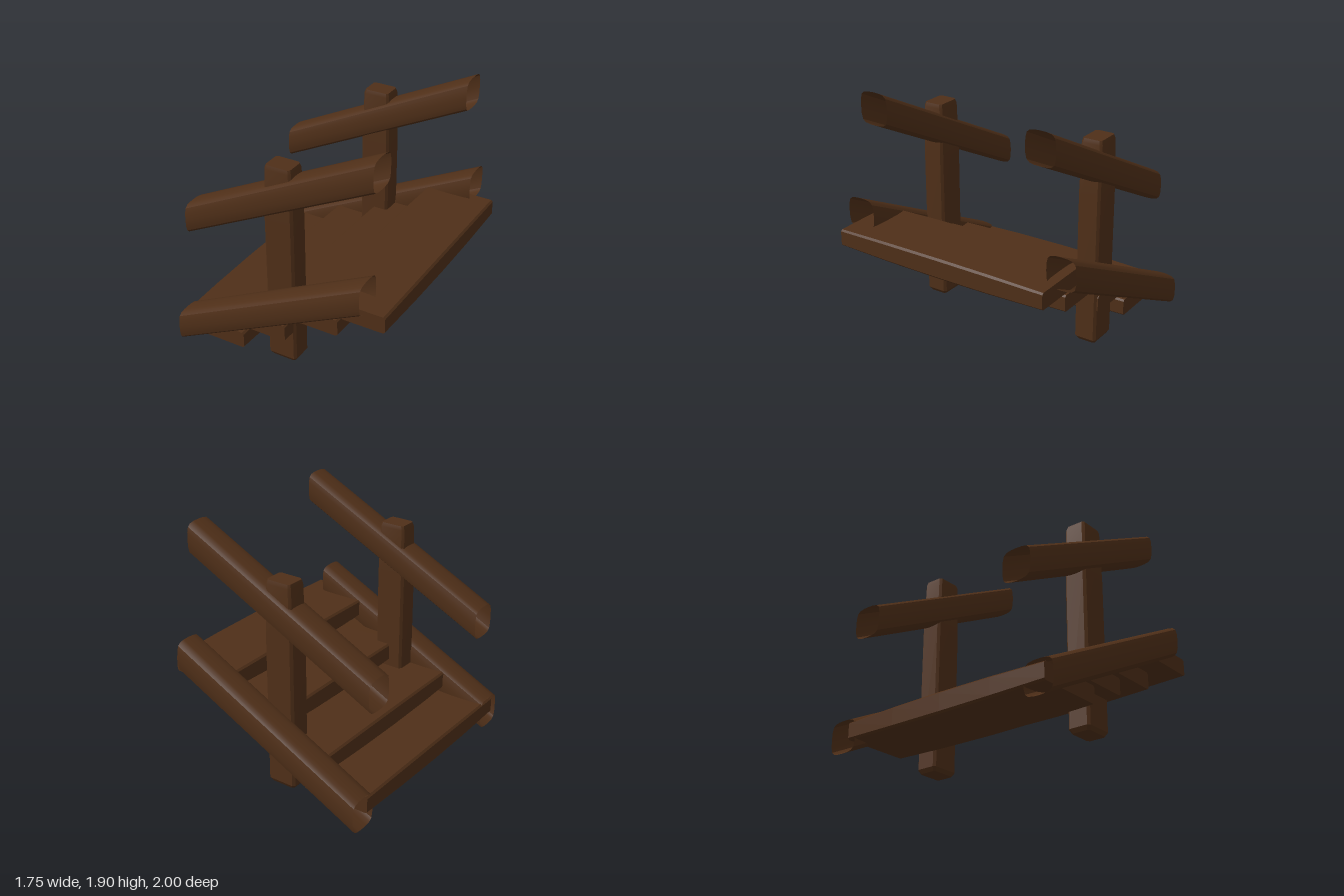
import * as THREE from 'three';
import { toCreasedNormals } from 'three/addons/utils/BufferGeometryUtils.js';

// Rectangle with cut corners, counter-clockwise
function chamferedRect(w, h, c) {
  const x = w / 2, y = h / 2;
  return [[x, c - y], [x, y - c], [x - c, y], [c - x, y], [-x, y - c], [-x, c - y], [c - x, -y], [x - c, -y]];
}

// Sweeps a section along z; each ring is [z, scaleX, scaleY]
function loft(section, rings, capped = true) {
  const n = section.length, pos = [], idx = [];
  for (const [z, sx, sy] of rings) for (const [x, y] of section) pos.push(x * sx, y * sy, z);
  for (let r = 0; r < rings.length - 1; r++) {
    for (let i = 0; i < n; i++) {
      const a = r * n + i, b = r * n + (i + 1) % n;
      idx.push(a, b, b + n, a, b + n, a + n);
    }
  }
  if (capped) {
    const e = (rings.length - 1) * n;
    for (let i = 1; i < n - 1; i++) idx.push(0, i + 1, i, e, e + i, e + i + 1);
  }
  const g = new THREE.BufferGeometry();
  g.setAttribute('position', new THREE.Float32BufferAttribute(pos, 3));
  g.setIndex(idx);
  return g;
}

export function createModel() {
  const group = new THREE.Group();
  const wood = new THREE.MeshStandardMaterial({ color: 0x4f2f18 });
  const openWood = new THREE.MeshStandardMaterial({ color: 0x4f2f18, side: THREE.DoubleSide });

  function add(name, geometry, x, y, z, material = wood) {
    const mesh = new THREE.Mesh(toCreasedNormals(geometry, 0.5), material);
    mesh.name = name;
    mesh.position.set(x, y, z);
    group.add(mesh);
  }

  // Step planks, slightly swollen in the middle: [x min, x max, y centre, z min, z max]
  const planks = [
    [-0.88, -0.315, 0.165, -0.83, 0.93],
    [-0.515, 0.035, 0.343, -0.80, 0.905],
    [-0.09, 0.46, 0.535, -0.77, 0.875],
    [0.315, 0.873, 0.76, -0.84, 0.945],
  ];
  planks.forEach(([x0, x1, y, z0, z1], i) => {
    const half = (z1 - z0) / 2;
    const rings = [-1, -0.5, 0, 0.5, 1].map(t => [t * half, 1 - 0.03 * t * t, 1 - 0.17 * t * t]);
    add('stepPlank' + (i + 1), loft(chamferedRect(x1 - x0, 0.16, 0.015), rings), (x0 + x1) / 2, y, (z0 + z1) / 2);
  });

  // Round-edged rail section (z across, y up)
  const quarter = [[0.12, 0], [0.118, 0.055], [0.108, 0.095], [0.085, 0.115], [0.045, 0.123]];
  const railSection = [
    ...quarter,
    [0, 0.125],
    ...quarter.map(([x, y]) => [-x, y]).reverse(),
    ...quarter.slice(1).map(([x, y]) => [-x, -y]),
    [0, -0.125],
    ...quarter.slice(1).map(([x, y]) => [x, -y]).reverse(),
  ];

  // Sloping open-ended rail with upright end cuts
  function rail() {
    const g = loft(railSection, [[-0.7825, 1, 1], [0.7825, 1, 1]], false);
    g.rotateY(Math.PI / 2);
    const p = g.attributes.position;
    for (let i = 0; i < p.count; i++) p.setY(i, p.getY(i) + 0.5 * p.getX(i));
    return g;
  }

  for (const [side, s] of [['front', 1], ['back', -1]]) {
    // Upright post, bevelled at both ends
    const post = loft(chamferedRect(0.24, 0.18, 0.018), [
      [0.005, 0.82, 0.8], [0.035, 1, 1], [1.2, 1, 1], [1.6, 0.9, 0.94], [1.63, 0.82, 0.84],
    ]);
    post.rotateX(-Math.PI / 2);
    add(side + 'Post', post, -0.077, 0, s * 0.702);

    add(side + 'Stringer', rail(), -0.0875, 0.521, s * 0.882, openWood);
    add(side + 'Handrail', rail(), -0.0875, 1.384, s * 0.705, openWood);
  }
  return group;
}
